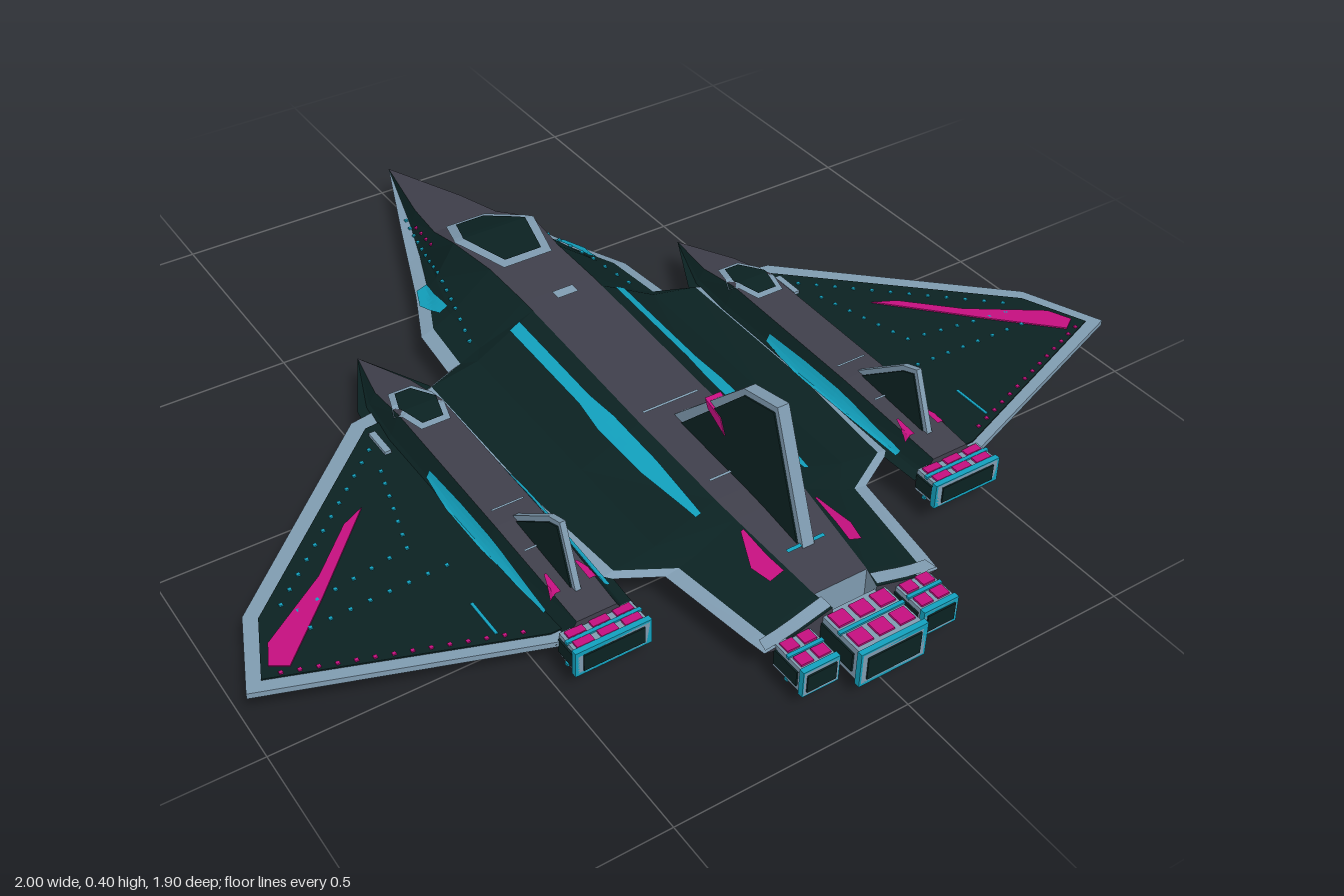
import * as THREE from 'three';

const MID = 0.092; // height of the wing plane

function mat(name, color) {
  return new THREE.MeshStandardMaterial({ name, color, side: THREE.DoubleSide, flatShading: true });
}

export function createModel() {
  const root = new THREE.Group();
  root.name = 'starfighter';
  const hullGreen = mat('dark green hull', 0x0b2222);
  const grey = mat('slate grey', 0x3f3f4b);
  const steel = mat('steel blue trim', 0x7f9bb0);
  const cyan = mat('cyan panel', 0x12a0bd);
  const magenta = mat('magenta accent', 0xc4107f);

  function add(name, geo, material, parent = root) {
    const mesh = new THREE.Mesh(geo, material);
    mesh.name = name;
    parent.add(mesh);
    return mesh;
  }
  function box(name, material, w, h, d, x, y, z, parent = root) {
    const mesh = add(name, new THREE.BoxGeometry(w, h, d), material, parent);
    mesh.position.set(x, y, z);
    return mesh;
  }
  // surface through equally long rows of points
  function grid(rows) {
    const n = rows[0].length, index = [];
    for (let i = 0; i < rows.length - 1; i++) for (let j = 0; j < n - 1; j++) {
      const a = i * n + j, b = a + n;
      index.push(a, b, a + 1, b, b + 1, a + 1);
    }
    const geo = new THREE.BufferGeometry();
    geo.setAttribute('position', new THREE.Float32BufferAttribute(rows.flat(2), 3));
    geo.setIndex(index);
    geo.computeVertexNormals();
    return geo;
  }
  function shape(pts, sx = 1) {
    return new THREE.Shape(pts.map(([x, y]) => new THREE.Vector2(x * sx, y)));
  }
  // horizontal plate from an (x, z) outline
  function plate(name, pts, thick, material, sx, y = MID) {
    const geo = new THREE.ExtrudeGeometry(shape(pts, sx), { depth: thick, bevelEnabled: false });
    geo.translate(0, 0, -thick / 2).rotateX(Math.PI / 2).translate(0, y, 0);
    return add(name, geo, material);
  }
  // upright plate from a (z, y) outline
  function upright(name, pts, thick, material, x) {
    const geo = new THREE.ExtrudeGeometry(shape(pts), { depth: thick, bevelEnabled: false });
    geo.translate(0, 0, -thick / 2).rotateY(-Math.PI / 2).translate(x, 0, 0);
    return add(name, geo, material);
  }

  // faceted hull; station = [z, spine half width, top, half width, belly half width, bottom]
  function hull(name, stations, cx, rimMat, openEnd) {
    const group = new THREE.Group();
    group.name = name;
    root.add(group);
    const half = (st, up) => {
      const [z, a, yt, w, b, yb] = st;
      const e = up ? a : b, h = (up ? yt : yb) - MID;
      const m = Math.max(w - 0.03, w * 0.75);
      const s = Math.min(0.22, e + 0.7 * (m - e));
      return [[0, MID + h, z], [e, MID + h, z], [s, MID + 0.3 * h, z], [m, MID + 0.1 * h, z], [w, MID, z]];
    };
    const place = (p, sx) => [cx + sx * p[0], p[1], p[2]];
    const last = stations[stations.length - 1];
    for (const sx of [1, -1]) {
      for (const up of [true, false]) {
        const rows = stations.map(st => half(st, up).map(p => place(p, sx)));
        const spineRows = openEnd ? rows.slice(0, -1) : rows;
        add(up ? 'spine' : 'belly', grid(spineRows.map(r => r.slice(0, 2))), grey, group);
        add(up ? 'upperFlank' : 'lowerFlank', grid(rows.map(r => r.slice(1, 4))), hullGreen, group);
        add('edgeTrim', grid(rows.map(r => r.slice(3))), rimMat, group);
      }
      const capOf = (st, from, to) => grid([half(st, true), half(st, false)]
        .map(r => r.slice(from, to).map(p => place(p, sx))));
      add('rearCap', capOf(last, openEnd ? 1 : 0, 5), grey, group);
      if (openEnd) { // notch behind the spine
        const prev = stations[stations.length - 2];
        add('notchEnd', capOf(prev, 0, 2), steel, group);
        add('notchWall', grid([prev, last].map(st =>
          [half(st, true)[1], half(st, false)[1]].map(p => place(p, sx)))), steel, group);
      }
    }
    const heightAt = (x, z, up) => {
      let i = 0;
      while (i < stations.length - 2 && stations[i + 1][0] < z) i++;
      const s0 = stations[i], s1 = stations[i + 1], t = (z - s0[0]) / (s1[0] - s0[0]);
      const p0 = half(s0, up), p1 = half(s1, up);
      const pts = p0.map((p, k) => p.map((v, c) => v + (p1[k][c] - v) * t));
      for (let k = 0; k < 4; k++) if (Math.abs(x) <= pts[k + 1][0]) {
        const u = (Math.abs(x) - pts[k][0]) / (pts[k + 1][0] - pts[k][0] || 1);
        return pts[k][1] + (pts[k + 1][1] - pts[k][1]) * u;
      }
      return MID;
    };
    // painted panel following the hull; spans = [x1, x2, z]
    const panel = (label, spans, material, { up = true, lift = 0.004, sx = 1 } = {}) => {
      const rows = [], N = 6;
      for (let i = 0; i < spans.length - 1; i++) for (let k = i ? 1 : 0; k <= N; k++) {
        const [x1, x2, z] = spans[i].map((v, c) => v + (spans[i + 1][c] - v) * k / N);
        rows.push([0, 0.25, 0.5, 0.75, 1].map(u => {
          const x = x1 + (x2 - x1) * u;
          return [cx + sx * x, heightAt(x, z, up) + (up ? lift : -lift), z];
        }));
      }
      add(label, grid(rows), material, group);
    };
    const canopy = (w, z0, z1, z2, f) => {
      panel('canopyFrame', [[-w * 0.5, w * 0.5, z0], [-w, w, z1], [-w * 0.6, w * 0.6, z2]], steel);
      panel('canopyGlass', [[-w * 0.5 + f * 0.7, w * 0.5 - f * 0.7, z0 + f], [-w + f, w - f, z1],
        [-w * 0.6 + f * 0.7, w * 0.6 - f * 0.7, z2 - f]], hullGreen, { lift: 0.007 });
    };
    return { panel, canopy, heightAt };
  }

  // row of small lights
  function dots(name, from, to, count, y, material, sx) {
    for (let i = 0; i < count; i++) {
      const t = i / (count - 1);
      box(name, material, 0.007, 0.004, 0.007, sx * (from[0] + (to[0] - from[0]) * t),
        typeof y === 'function' ? y(from[0] + (to[0] - from[0]) * t, from[1] + (to[1] - from[1]) * t) : y,
        from[1] + (to[1] - from[1]) * t);
    }
  }

  // fuselage
  const body = hull('fuselage', [
    [-0.952, 0, MID, 0, 0, MID], [-0.7, 0.06, 0.13, 0.1, 0.05, 0.055],
    [-0.57, 0.08, 0.15, 0.15, 0.07, 0.037], [-0.44, 0.1, 0.2, 0.2, 0.08, 0.023],
    [-0.305, 0.086, 0.203, 0.26, 0.09, 0.013], [-0.166, 0.085, 0.202, 0.272, 0.09, 0.008],
    [-0.13, 0.085, 0.2, 0.36, 0.09, 0.006], [0.27, 0.085, 0.175, 0.36, 0.09, 0.002],
    [0.524, 0.083, 0.162, 0.34, 0.09, 0], [0.583, 0.08, 0.157, 0.235, 0.085, 0],
    [0.795, 0.06, 0.13, 0.205, 0.06, 0.015], [0.836, 0.05, 0.125, 0.198, 0.05, 0.02],
  ], 0, steel, true);
  body.canopy(0.1, -0.57, -0.435, -0.29, 0.021);
  for (const sx of [1, -1]) {
    body.panel('flankStripe', [[0.118, 0.142, -0.13], [0.118, 0.142, 0.14], [0.112, 0.15, 0.22],
      [0.112, 0.148, 0.37], [0.12, 0.132, 0.53]], cyan, { sx });
    body.panel('bellyStripe', [[0.12, 0.14, -0.25], [0.12, 0.145, 0.48]], cyan, { sx, up: false });
    body.panel('noseVent', [[0.165, 0.19, -0.455], [0.175, 0.212, -0.4], [0.18, 0.2, -0.33]], cyan, { sx });
    for (const up of [true, false])
      body.panel('tailFlash', [[0.082, 0.088, 0.61], [0.08, 0.115, 0.68], [0.075, 0.105, 0.725]], magenta, { sx, up });
    const onBody = (x, z) => body.heightAt(x, z, true) + 0.002;
    dots('noseLights', [0.075, -0.72], [0.2, -0.2], 16, onBody, cyan, sx);
    dots('noseMarkers', [0.08, -0.66], [0.1, -0.55], 4, onBody, magenta, sx);
    body.panel('sternTrim', [[0.055, 0.19, 0.808], [0.052, 0.195, 0.834]], steel, { sx });
  }
  for (const z of [0.25, 0.475])
    body.panel('panelSeam', [[-0.065, 0.065, z], [-0.065, 0.065, z + 0.006]], steel);
  body.panel('spineHatch', [[-0.02, 0.03, -0.16], [-0.02, 0.03, -0.135]], steel);
  body.panel('sternMarker', [[-0.045, 0.04, 0.69], [-0.045, 0.04, 0.698]], cyan);

  // fin with trimmed edges
  function fin(name, x, outer, inner, thick) {
    upright(name, outer, thick, steel, x);
    upright(name + 'Side', inner, thick + 0.006, hullGreen, x);
  }
  fin('tailFin', 0, [[0.27, 0.16], [0.5, 0.38], [0.6, 0.402], [0.705, 0.13]],
    [[0.3, 0.16], [0.505, 0.368], [0.594, 0.388], [0.69, 0.13]], 0.026);
  upright('finFlash', [[0.455, 0.24], [0.4, 0.268], [0.39, 0.287], [0.44, 0.272]], 0.036, magenta, 0);

  // engine block with glowing cells and a framed outlet
  function engine(name, x, y, z0, w, h, len, cols) {
    const g = new THREE.Group();
    g.name = name;
    g.position.set(x, y, z0);
    root.add(g);
    box('casing', steel, w * 0.94, h * 0.9, len, 0, 0, len / 2, g);
    box('outlet', hullGreen, w * 0.8, h * 0.65, 0.006, 0, 0, len, g);
    for (const s of [1, -1]) {
      box('lip', cyan, w, 0.01, 0.012, 0, s * (h / 2 - 0.005), len - 0.006, g);
      box('lipSide', cyan, 0.01, h, 0.012, s * (w / 2 - 0.005), 0, len - 0.006, g);
      box('midBand', cyan, w * 0.98, 0.006, 0.008, 0, s * h * 0.46, len * 0.45, g);
      box('sidePanel', hullGreen, 0.006, h * 0.55, len * 0.75, s * w * 0.475, 0, len * 0.42, g);
      for (let c = 0; c < cols; c++) for (const r of [0.22, 0.67])
        box('cell', magenta, w * 0.68 / cols, 0.007, len * 0.28,
          ((c + 0.5) / cols - 0.5) * w * 0.94, s * h * 0.46, len * r, g);
    }
  }
  engine('mainEngine', 0, 0.078, 0.83, 0.15, 0.078, 0.12, 3);

  const wingOuter = [[0.45, -0.13], [0.52, -0.118], [0.93, 0.267], [1, 0.44], [0.49, 0.622], [0.45, 0.622]];
  const wingInner = [[0.45, -0.09], [0.505, -0.085], [0.908, 0.288], [0.965, 0.425], [0.49, 0.6], [0.45, 0.6]];
  const wingFlash = [[0.62, 0.125], [0.67, 0.15], [0.77, 0.25], [0.92, 0.355], [0.942, 0.405], [0.91, 0.425], [0.79, 0.305]];
  for (const sx of [1, -1]) {
    const side = sx > 0 ? 'left' : 'right';
    // wing
    plate(side + 'WingTrim', wingOuter, 0.012, steel, sx);
    plate(side + 'WingPanel', wingInner, 0.018, hullGreen, sx);
    plate(side + 'WingFlash', wingFlash, 0.024, magenta, sx);
    plate(side + 'WingSeam', [[0.568, 0.46], [0.574, 0.46], [0.574, 0.55], [0.568, 0.55]], 0.022, cyan, sx);
    const y = MID + 0.01;
    dots(side + 'LeadingLights', [0.53, -0.02], [0.86, 0.28], 12, y, cyan, sx);
    dots(side + 'InnerLights', [0.54, 0.05], [0.6, 0.27], 7, y, cyan, sx);
    dots(side + 'CrossLights', [0.6, 0.27], [0.84, 0.31], 7, y, cyan, sx);
    dots(side + 'AftLights', [0.56, 0.35], [0.84, 0.36], 8, y, cyan, sx);
    dots(side + 'TrailingLights', [0.53, 0.572], [0.93, 0.43], 14, y, magenta, sx);

    // nacelle on the wing root
    const x = 0.408 * sx;
    const pod = hull(side + 'Nacelle', [
      [-0.312, 0, MID, 0, 0, MID], [-0.15, 0.04, 0.125, 0.082, 0.035, 0.064],
      [-0.03, 0.048, 0.152, 0.1, 0.045, 0.052], [0.35, 0.048, 0.146, 0.1, 0.045, 0.05],
      [0.622, 0.042, 0.126, 0.086, 0.04, 0.062],
    ], x, hullGreen, false);
    pod.canopy(0.054, -0.118, -0.04, 0.038, 0.013);
    for (const s of [1, -1]) {
      pod.panel('nacelleStripe', [[0.062, 0.07, 0.12], [0.06, 0.08, 0.24], [0.06, 0.078, 0.4], [0.062, 0.074, 0.55]], cyan, { sx: s });
      pod.panel('nacelleFlash', [[0.03, 0.035, 0.5], [0.03, 0.052, 0.55]], magenta, { sx: s });
    }
    pod.panel('nacelleBellyStripe', [[0.06, 0.072, 0.15], [0.06, 0.075, 0.45]], cyan, { up: false, sx: -sx });
    for (const z of [0.31, 0.43])
      pod.panel('nacelleSeam', [[-0.035, 0.035, z], [-0.035, 0.035, z + 0.005]], steel);
    box(side + 'Probe', steel, 0.014, 0.016, 0.07, 0.503 * sx, MID + 0.008, -0.025);
    fin(side + 'NacelleFin', x, [[0.32, 0.13], [0.47, 0.242], [0.51, 0.256], [0.565, 0.12]],
      [[0.338, 0.13], [0.474, 0.232], [0.505, 0.244], [0.553, 0.12]], 0.012);
    engine(side + 'NacelleEngine', x, 0.086, 0.616, 0.16, 0.056, 0.062, 3);
    engine(side + 'AuxEngine', 0.135 * sx, 0.072, 0.83, 0.08, 0.06, 0.088, 2);
  }
  return root;
}
